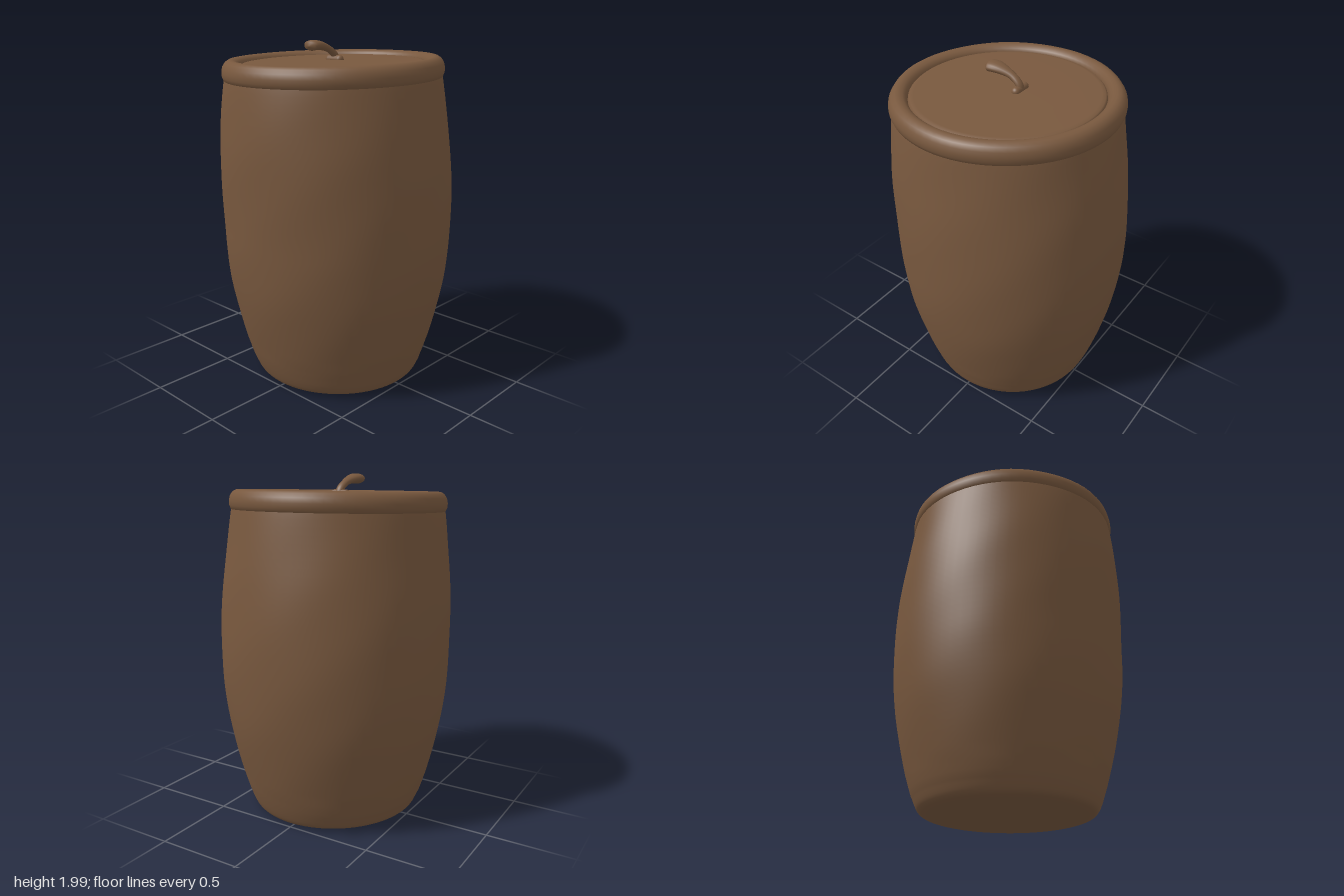
import * as THREE from 'three';
import { mergeVertices } from 'three/addons/utils/BufferGeometryUtils.js';

const wood = new THREE.MeshStandardMaterial({ color: 0x78583e });
wood.name = 'brown wood';

// Move vertices by a rule, weld the seam and smooth the normals
function reshape(geometry, rule) {
  geometry.deleteAttribute('uv');
  geometry.deleteAttribute('normal');
  const g = mergeVertices(geometry, 1e-4);
  const p = g.attributes.position;
  const v = new THREE.Vector3();
  for (let i = 0; i < p.count; i++) {
    rule(v.fromBufferAttribute(p, i));
    p.setXYZ(i, v.x, v.y, v.z);
  }
  g.computeVertexNormals();
  return g;
}

// The barrel leans and tilts slightly towards its top, with a hand-worn wobble
function lean(v) {
  const t = THREE.MathUtils.smoothstep(v.y, 0.9, 1.8);
  const r = Math.hypot(v.x, v.z);
  const a = Math.atan2(v.z, v.x);
  const k = r > 0.56 ? 1 + 0.003 * Math.sin(a * 7 + v.y * 4) * Math.sin(v.y * 9) : 1;
  const x = v.x * (1.01 + 0.02 * t) * k - 0.035 * t;
  v.y += 0.026 * v.x * t - 0.012 * v.z * (1 - t) * (v.y < 0.1 ? 1 : 0);
  v.x = x;
  v.z *= k;
}

function mesh(name, geometry) {
  const m = new THREE.Mesh(geometry, wood);
  m.name = name;
  return m;
}

function turned(name, points) {
  const profile = points.map(([r, y]) => new THREE.Vector2(r, y));
  return mesh(name, reshape(new THREE.LatheGeometry(profile, 72), lean));
}

export function createModel() {
  const group = new THREE.Group();
  group.name = 'barrel';

  // Bulging body with a smooth curve through a few radii
  const side = new THREE.SplineCurve([
    [0.44, 0.016], [0.485, 0.03], [0.515, 0.08], [0.556, 0.2], [0.608, 0.4], [0.647, 0.6],
    [0.668, 0.8], [0.675, 1.0], [0.672, 1.2], [0.66, 1.4], [0.638, 1.6], [0.613, 1.79], [0.6, 1.84],
  ].map(([r, y]) => new THREE.Vector2(r, y))).getPoints(60).map((p) => [p.x, p.y]);
  group.add(turned('body', [[0, 0.022], [0.25, 0.02], [0.4, 0.016], ...side]));

  // Rounded rim
  group.add(turned('rim', [
    [0.6, 1.785], [0.614, 1.795], [0.622, 1.815], [0.624, 1.84], [0.618, 1.868], [0.604, 1.89],
    [0.585, 1.902], [0.565, 1.904], [0.545, 1.897], [0.53, 1.885], [0.522, 1.868], [0.52, 1.845],
  ]));

  // Flat lid, sunk a little below the rim
  group.add(turned('lid', [
    [0.522, 1.85], [0.519, 1.868], [0.51, 1.876], [0.49, 1.879], [0.3, 1.881], [0.1, 1.882], [0, 1.882],
  ]));

  // Curved handle, flared towards its tip
  const handle = new THREE.Group();
  handle.name = 'handle';
  const path = new THREE.CatmullRomCurve3([
    [0.028, 1.865, -0.04], [0.015, 1.91, -0.04], [-0.03, 1.945, -0.044],
    [-0.1, 1.966, -0.045], [-0.16, 1.97, -0.045], [-0.19, 1.964, -0.045],
  ].map((p) => new THREE.Vector3(...p)));
  const across = new THREE.Vector3(0, 0, 1);
  const arm = reshape(new THREE.CylinderGeometry(1, 1, 1, 20, 32), (v) => {
    const t = v.y + 0.5;
    const flare = THREE.MathUtils.smoothstep(t, 0.35, 0.9);
    const end = Math.sqrt(Math.max(0, 1 - (Math.max(0, t - 0.93) / 0.07) ** 2));
    const normal = path.getTangentAt(t).cross(across);
    const { x, z } = v;
    v.copy(path.getPointAt(t))
      .addScaledVector(normal, x * (0.019 + 0.01 * flare) * end)
      .addScaledVector(across, z * (0.024 + 0.027 * flare) * end);
  });
  handle.add(mesh('handleArm', arm));

  // Crosswise foot fixing the handle to the lid
  const foot = mesh('handleFoot', new THREE.CapsuleGeometry(0.025, 0.075, 8, 16));
  foot.rotation.x = Math.PI / 2;
  foot.position.set(0.018, 1.886, -0.042);
  handle.add(foot);
  group.add(handle);

  return group;
}
